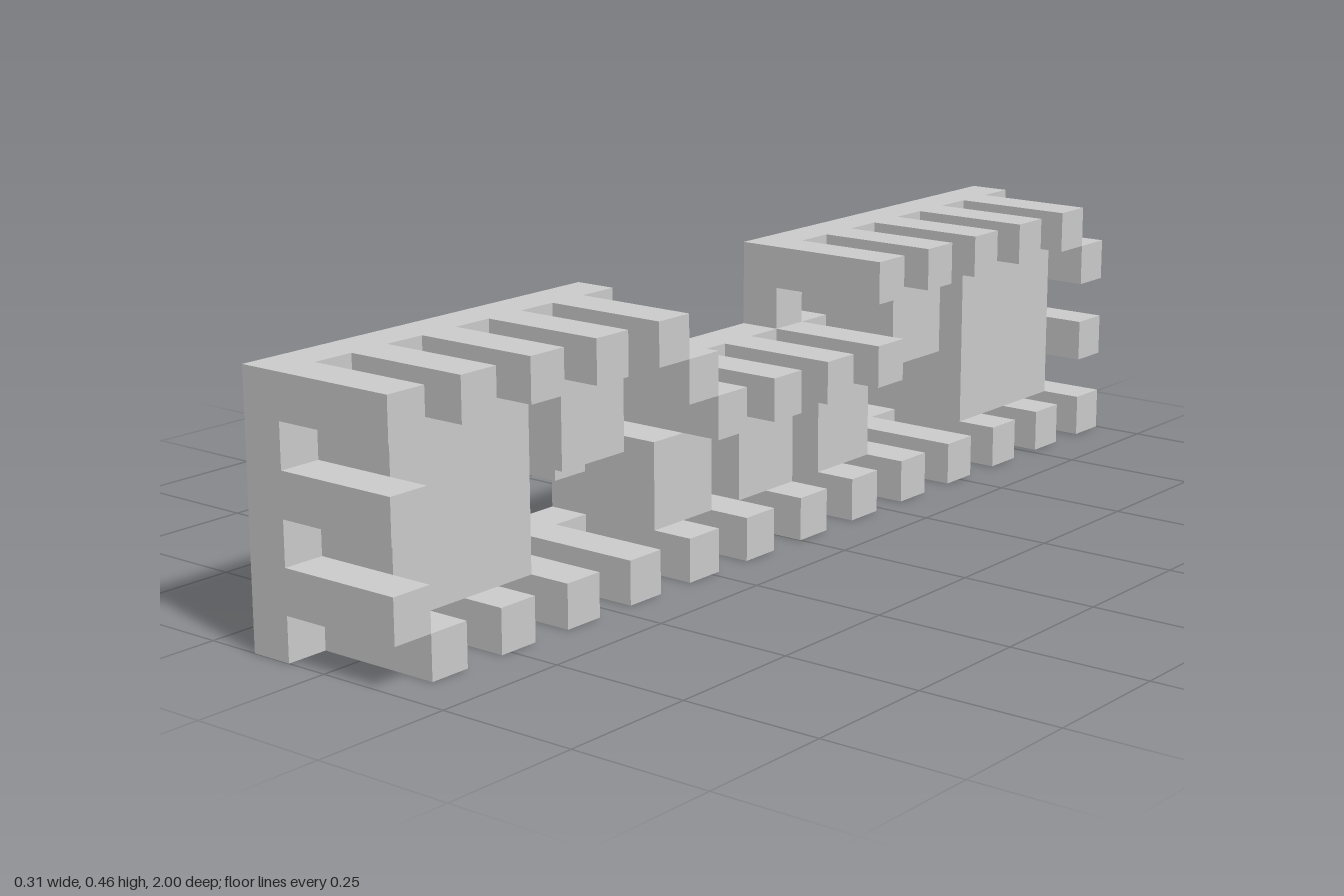
import * as THREE from 'three';

const U = 2 / 26; // grid cell: 26 long, 6 high, 4 deep

export function createModel() {
  const group = new THREE.Group();
  const material = new THREE.MeshStandardMaterial({ color: 0xcccccc, flatShading: true });

  // Box covering grid cells: col counts from the front end, row from the bottom, layer from -x
  function cells(name, col, row, cols, rows, layers) {
    const mesh = new THREE.Mesh(new THREE.BoxGeometry(layers * U, rows * U, cols * U), material);
    mesh.position.set((-1 + layers / 2) * U, (row + rows / 2) * U, (13 - col - cols / 2) * U);
    mesh.name = name;
    group.add(mesh);
  }
  const points = (list) => list.map(([c, r]) => new THREE.Vector2((c - 13) * U, r * U));
  const mirrored = (list) => list.map(([c, r]) => [26 - c, r]);

  // Back plate with a dropped middle and window openings
  const plate = new THREE.Shape(points([
    [0, 0], [26, 0], [26, 6], [16, 6], [16, 4], [10, 4], [10, 6], [0, 6],
  ]));
  const square = (c, r) => [[c, r], [c + 1, r], [c + 1, r + 1], [c, r + 1]];
  const openings = [
    square(5, 4), square(8, 4), square(11, 1),
    [[5, 1], [9, 1], [9, 2], [8, 2], [8, 3], [5, 3]],
  ];
  for (const o of openings) {
    plate.holes.push(new THREE.Path(points(o)), new THREE.Path(points(mirrored(o))));
  }
  const plateGeometry = new THREE.ExtrudeGeometry(plate, { depth: U, bevelEnabled: false });
  plateGeometry.rotateY(Math.PI / 2).translate(-2 * U, 0, 0);
  const plateMesh = new THREE.Mesh(plateGeometry, material);
  plateMesh.name = 'plate';
  group.add(plateMesh);

  // Raised blocks on the inner face
  for (const [col, row, w, h] of [
    [1, 1, 4, 4], [21, 1, 4, 4], [6, 3, 2, 2], [18, 3, 2, 2],
    [9, 1, 2, 2], [12, 1, 2, 2], [15, 1, 2, 2],
  ]) cells('block', col, row, w, h, 2);

  // Joint fingers on alternate cells around the rim
  for (let col = 0; col < 26; col++) {
    const top = col > 9 && col < 16 ? 3 : 5;
    for (let row = 0; row <= top; row++) {
      const rim = row === 0 || row === top || col === 0 || col === 25 ||
        ((col === 9 || col === 16) && row >= 3);
      if (rim && (col + row) % 2 === 1) cells('finger', col, row, 1, 1, 3);
    }
  }
  return group;
}
